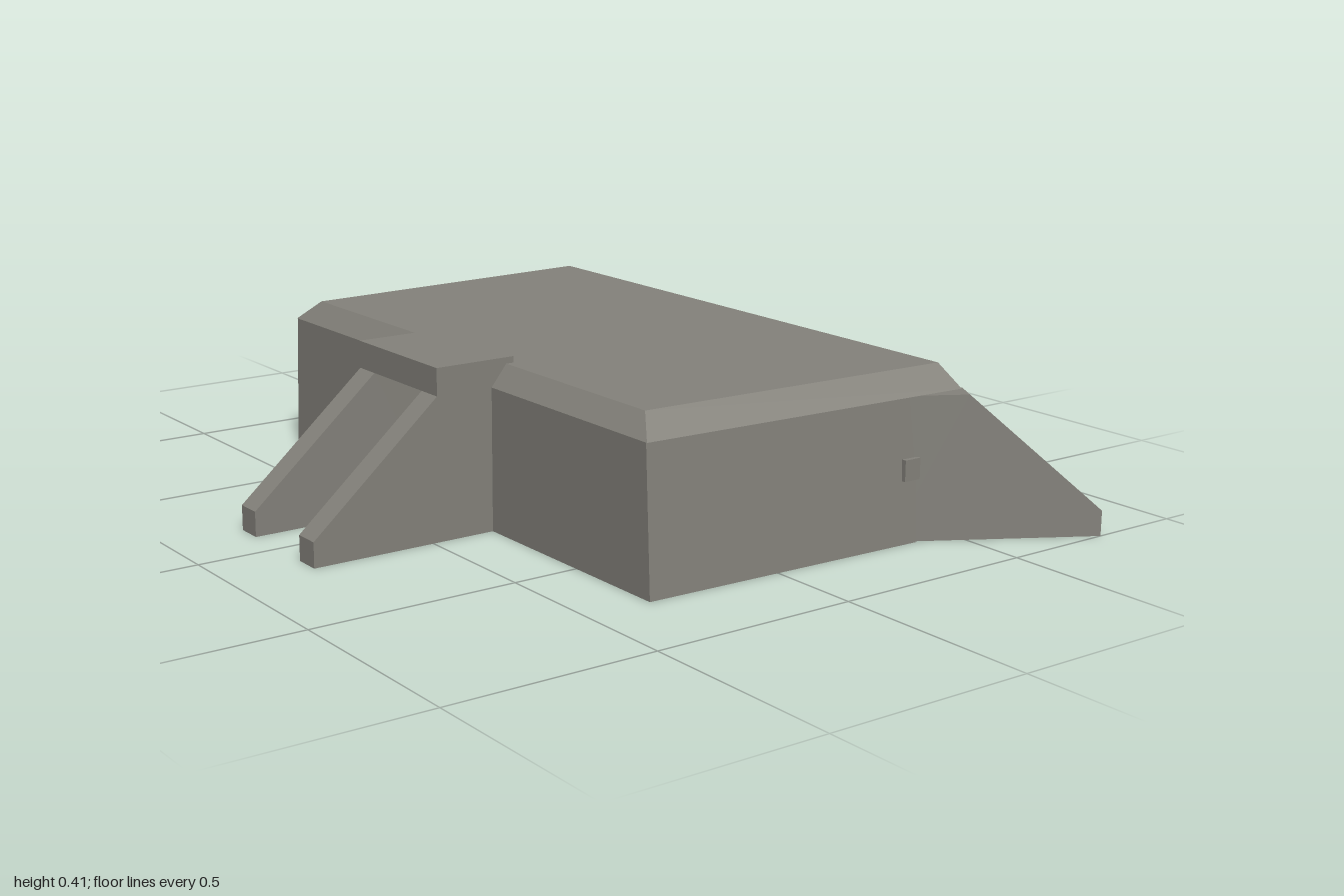
import * as THREE from 'three';
import { ConvexGeometry } from 'three/addons/geometries/ConvexGeometry.js';

export function createModel() {
  const model = new THREE.Group();
  model.name = 'bunker';
  const concrete = new THREE.MeshStandardMaterial({ color: 0x84827b });
  concrete.name = 'concrete';

  const add = (name, geometry, z = 0) => {
    const mesh = new THREE.Mesh(geometry, concrete);
    mesh.name = name;
    mesh.position.z = z;
    model.add(mesh);
  };
  // Convex solid from corner points, optionally mirrored in x
  const solid = (name, points, side = 1) =>
    add(name, new ConvexGeometry(points.map(([x, y, z]) => new THREE.Vector3(x * side, y, z))));
  const box = (name, x0, x1, y0, y1, z0, z1, side = 1) => {
    const points = [];
    for (const x of [x0, x1]) for (const y of [y0, y1]) for (const z of [z0, z1]) points.push([x, y, z]);
    solid(name, points, side);
  };
  // Tapered wall panel with rectangular openings [x, y, width, height]
  const wall = (name, bottom, top, openings, z, depth) => {
    const shape = new THREE.Shape([
      new THREE.Vector2(-bottom, 0), new THREE.Vector2(bottom, 0),
      new THREE.Vector2(top, 0.34), new THREE.Vector2(-top, 0.34),
    ]);
    for (const [x, y, w, h] of openings) {
      shape.holes.push(new THREE.Path([
        new THREE.Vector2(x - w / 2, y), new THREE.Vector2(x - w / 2, y + h),
        new THREE.Vector2(x + w / 2, y + h), new THREE.Vector2(x + w / 2, y),
      ]));
    }
    add(name, new THREE.ExtrudeGeometry(shape, { depth, bevelEnabled: false }), z);
  };

  // Front wall with doorway, rear wall with five firing slits
  wall('frontWall', 0.765, 0.747, [[0, 0.01, 0.16, 0.25]], 0.295, 0.045);
  const slits = [-2, -1, 0, 1, 2].map((i) => [i * 0.32, 0.15, 0.2, 0.05]);
  wall('rearWall', 0.786, 0.768, slits, -0.4, 0.04);

  // Floor and bevelled overhanging roof
  box('floor', -0.76, 0.76, 0.0, 0.01, -0.395, 0.33);
  const roof = [];
  for (const s of [-1, 1]) {
    roof.push([s * 0.75, 0.34, 0.34], [s * 0.79, 0.34, -0.52]);
    roof.push([s * 0.69, 0.39, 0.3], [s * 0.725, 0.39, -0.507]);
  }
  solid('roof', roof);

  for (const side of [1, -1]) {
    // Side wall, leaning in and flaring towards the rear
    solid('sideWall', [
      [0.765, 0, 0.339], [0.79, 0, -0.395], [0.747, 0.34, 0.339], [0.772, 0.34, -0.395],
      [0.715, 0, 0.339], [0.74, 0, -0.395], [0.715, 0.34, 0.339], [0.74, 0.34, -0.395],
    ], side);

    // Small block standing out of the side wall
    box('sideBlock', 0.75, 0.79, 0.148, 0.198, -0.4, -0.355, side);

    // Splayed rear wing wall with sloping top
    const wing = [];
    for (const [s, y] of [[-0.06, 0], [0.43, 0], [0.43, 0.06], [0.11, 0.34], [-0.06, 0.34]]) {
      for (const t of [0, 0.065]) {
        wing.push([0.785 + s * 0.5 - t * 0.866, y, -0.4 - s * 0.866 - t * 0.5]);
      }
    }
    solid('wingWall', wing, side);

    // Sloping buttress beside the doorway
    const buttress = [];
    for (const x of [0.105, 0.17]) {
      for (const [z, y] of [[0.32, 0], [0.805, 0], [0.805, 0.06], [0.485, 0.34], [0.32, 0.34]]) {
        buttress.push([x, y, z]);
      }
    }
    solid('buttress', buttress, side);
  }

  // Slab over the doorway
  box('doorCanopy', -0.17, 0.17, 0.34, 0.405, 0.28, 0.485);

  return model;
}
